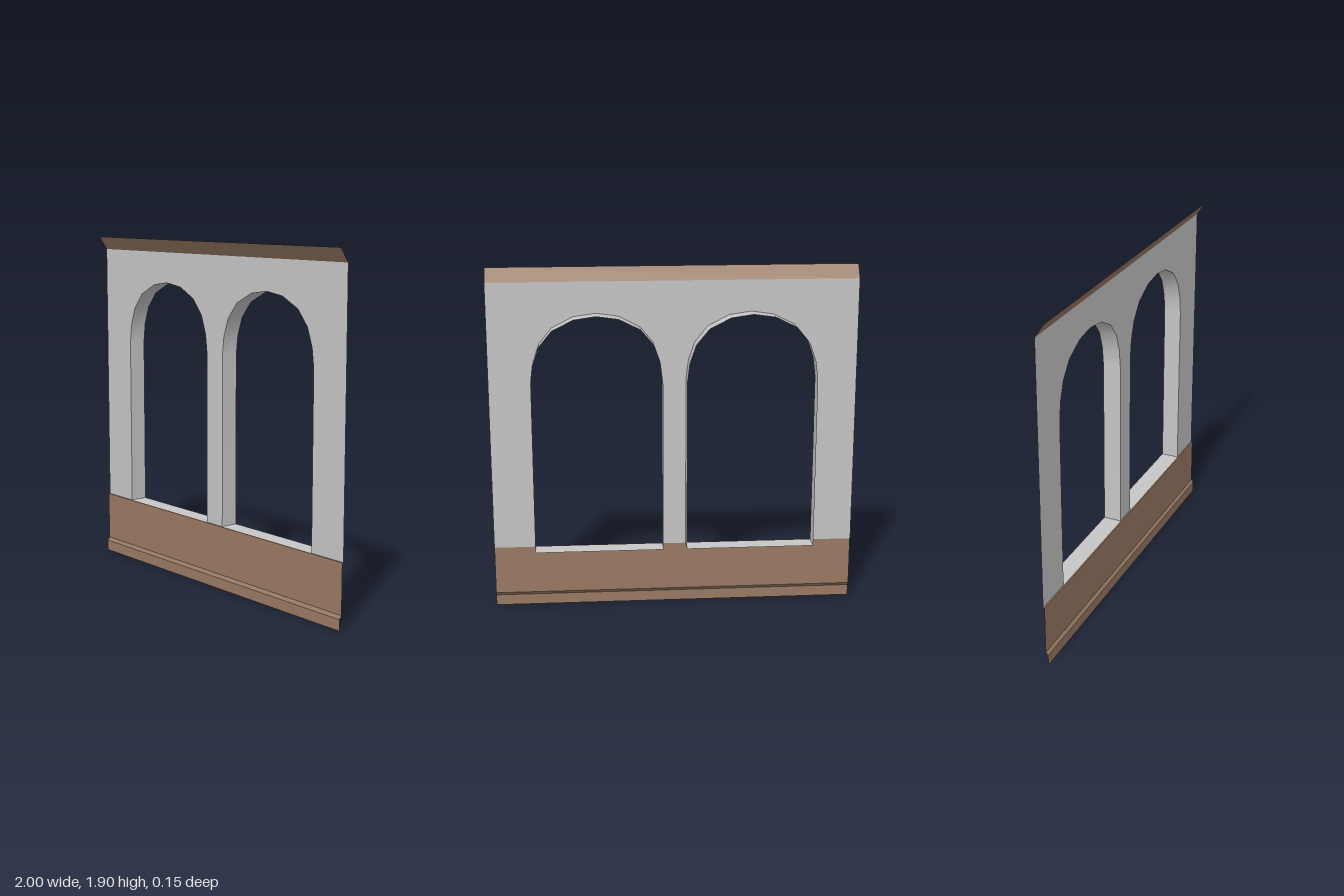
import * as THREE from 'three';

const WALL_Z = 0.025, BACK_Z = -0.074, SILL_Y = 0.35, WALL_TOP = 1.83, ARCH_X = 0.418;

// Right half of an arch, from springing to crown: [offset from centre, y]
const HALF_ARCH = [[0.353, 1.295], [0.34, 1.4], [0.305, 1.5], [0.235, 1.585], [0.12, 1.643], [0, 1.66]];

// Open outline of one opening: up the right jamb, over the arch, down the left jamb
function openingOutline(cx) {
  const right = [[0.353, SILL_Y], ...HALF_ARCH];
  const left = right.slice(0, -1).reverse().map(([x, y]) => [-x, y]);
  return [...right, ...left].map(([x, y]) => new THREE.Vector2(cx + x, y));
}

// Sheet joining two matching rows of points
function sheet(rowA, rowB) {
  const positions = [], index = [];
  rowA.forEach((a, i) => {
    positions.push(...a, ...rowB[i]);
    if (i > 0) {
      const k = 2 * i;
      index.push(k - 2, k, k - 1, k - 1, k, k + 1);
    }
  });
  const geometry = new THREE.BufferGeometry();
  geometry.setAttribute('position', new THREE.Float32BufferAttribute(positions, 3));
  geometry.setIndex(index);
  geometry.computeVertexNormals();
  return geometry;
}

// Moulding: a [y, z] profile, listed top to bottom, drawn along the full width
function moulding(profile) {
  const geometry = sheet(
    profile.map(([y, z]) => [-1, y, z]),
    profile.map(([y, z]) => [1, y, z])
  ).toNonIndexed();
  geometry.computeVertexNormals();
  return geometry;
}

export function createModel() {
  const model = new THREE.Group();
  model.name = 'archedWallPanel';

  const plaster = new THREE.MeshStandardMaterial({ color: 0xc6c6c6, side: THREE.DoubleSide });
  plaster.name = 'grey plaster';
  const wood = new THREE.MeshStandardMaterial({ color: 0x997a63, side: THREE.DoubleSide });
  wood.name = 'brown wood';

  const add = (name, geometry, material) => {
    const mesh = new THREE.Mesh(geometry, material);
    mesh.name = name;
    model.add(mesh);
  };

  // Thin wall face, cut away around both openings down to the sill line
  const outline = [new THREE.Vector2(-1, WALL_TOP), new THREE.Vector2(-1, SILL_Y)];
  for (const cx of [-ARCH_X, ARCH_X]) outline.push(...openingOutline(cx).reverse());
  outline.push(new THREE.Vector2(1, SILL_Y), new THREE.Vector2(1, WALL_TOP));
  const wall = new THREE.ShapeGeometry(new THREE.Shape(outline));
  wall.translate(0, 0, WALL_Z);
  add('wall', wall, plaster);

  // Deep window reveals and sills behind the wall face
  for (const [side, cx] of [['right', -ARCH_X], ['left', ARCH_X]]) {
    const points = openingOutline(cx);
    add(side + 'Reveal', sheet(
      points.map(p => [p.x, p.y, WALL_Z]),
      points.map(p => [p.x, p.y, BACK_Z])
    ), plaster);
    add(side + 'Sill', sheet(
      [[cx - 0.353, SILL_Y, WALL_Z], [cx + 0.353, SILL_Y, WALL_Z]],
      [[cx - 0.353, SILL_Y, BACK_Z], [cx + 0.353, SILL_Y, BACK_Z]]
    ), plaster);
  }

  // Sloping cornice, leaning forward at the top
  add('cornice', moulding([[1.903, 0.074], [WALL_TOP, WALL_Z]]), wood);

  // Wainscot with a stepped skirting at the floor
  add('wainscot', moulding([[SILL_Y, WALL_Z], [SILL_Y, 0.033], [0.078, 0.033]]), wood);
  add('skirting', moulding([[0.078, 0.033], [0.06, 0.046], [0, 0.046]]), wood);

  return model;
}
